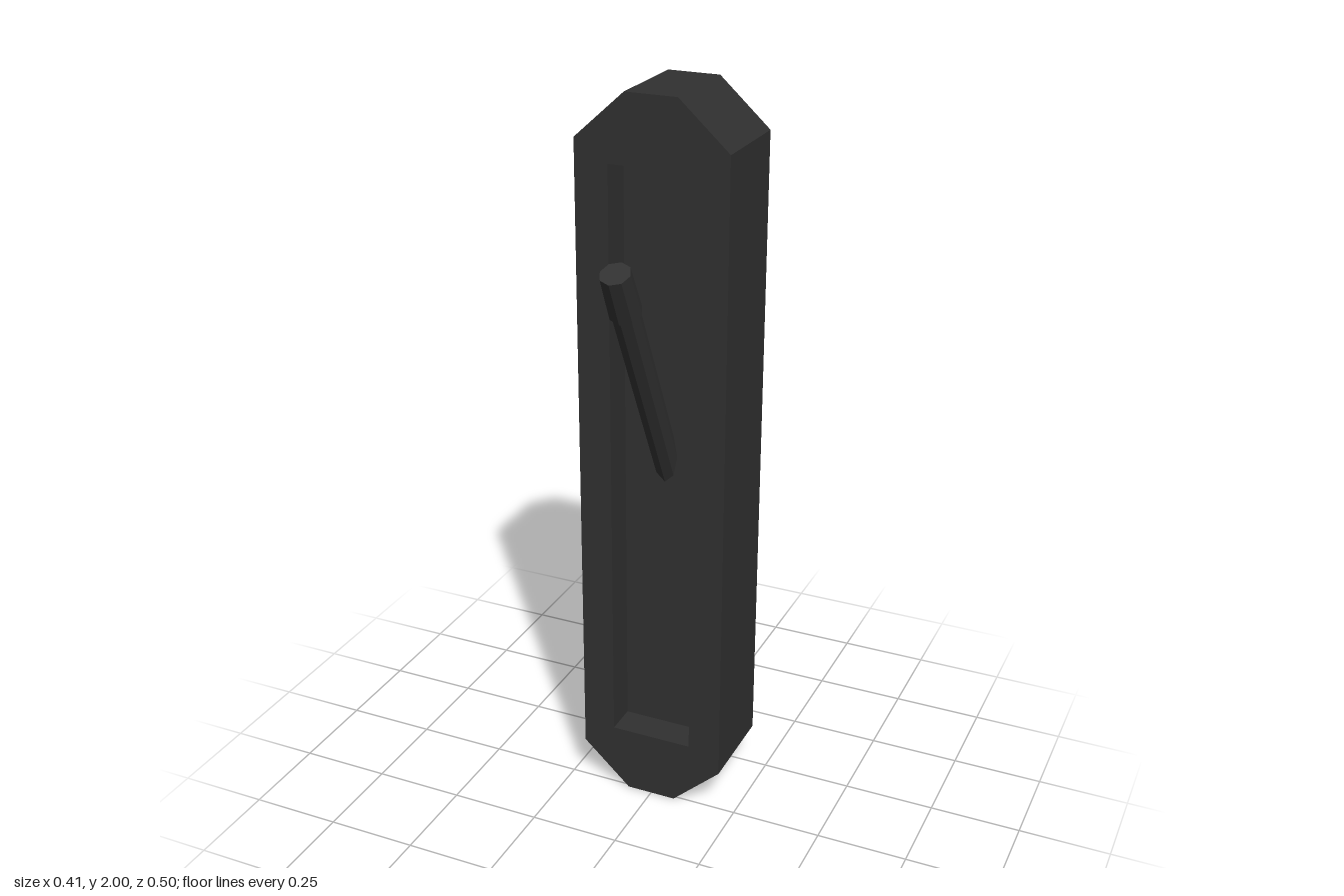
import * as THREE from 'three';

const FRONT = 0.01, BACK = -0.25, FLOOR = -0.08;

// Band of flat walls that follows a closed outline from z0 to z1
function wallBand(points, z0, z1) {
  const pos = [];
  points.forEach((a, i) => {
    const b = points[(i + 1) % points.length];
    pos.push(a.x, a.y, z0, b.x, b.y, z0, b.x, b.y, z1);
    pos.push(a.x, a.y, z0, b.x, b.y, z1, a.x, a.y, z1);
  });
  const geo = new THREE.BufferGeometry();
  geo.setAttribute('position', new THREE.Float32BufferAttribute(pos, 3));
  geo.computeVertexNormals();
  return geo;
}

const outline = (pairs) => pairs.map(([x, y]) => new THREE.Vector2(x, y));

export function createModel() {
  const model = new THREE.Group();
  const charcoal = new THREE.MeshStandardMaterial({
    color: 0x303030, flatShading: true, side: THREE.DoubleSide,
  });
  charcoal.name = 'charcoal';

  const add = (parent, name, geo, y = 0, z = 0) => {
    const mesh = new THREE.Mesh(geo, charcoal);
    mesh.name = name;
    mesh.position.set(0, y, z);
    parent.add(mesh);
  };

  // Thin housing, open at the back, with clipped corners
  const rim = outline([
    [-0.07, 0], [0.07, 0], [0.206, 0.125], [0.206, 1.877],
    [0.07, 2], [-0.07, 2], [-0.206, 1.877], [-0.206, 0.125],
  ]);
  const slot = outline([[-0.115, 0.19], [-0.115, 1.82], [0.115, 1.82], [0.115, 0.19]]);
  const face = new THREE.Shape(rim);
  face.holes.push(new THREE.Path(slot));
  add(model, 'housingWalls', wallBand(rim, BACK, FRONT));
  add(model, 'frontFrame', new THREE.ShapeGeometry(face), 0, FRONT);

  // Recessed panel
  add(model, 'recessWalls', wallBand(slot, FLOOR, FRONT));
  add(model, 'recessPanel', new THREE.ShapeGeometry(new THREE.Shape(slot)), 0, FLOOR);

  // Tilted lever passing through the panel; its origin is the grip tip
  const lever = new THREE.Group();
  lever.name = 'lever';
  lever.position.set(0, 1.62, 0.213);
  lever.rotation.x = 0.459;
  add(lever, 'leverGrip', new THREE.CylinderGeometry(0.04, 0.043, 0.13, 8), -0.065);
  add(lever, 'leverShaft', new THREE.CylinderGeometry(0.037, 0.035, 0.63, 8), -0.435);
  model.add(lever);

  return model;
}
